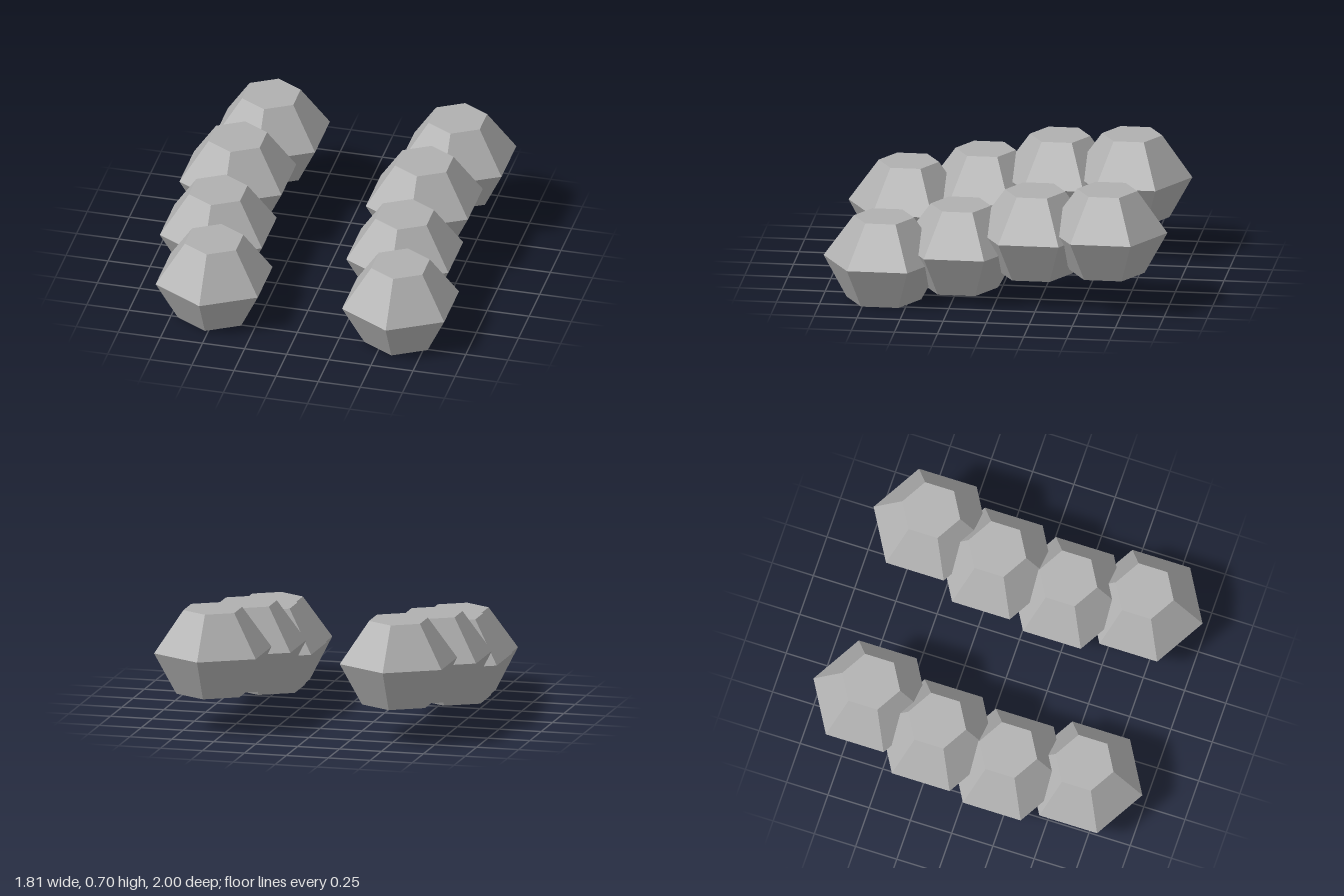
import * as THREE from 'three';

export function createModel() {
  const model = new THREE.Group();
  model.name = 'steppingStones';
  const stoneGrey = new THREE.MeshStandardMaterial({ name: 'stoneGrey', color: 0xb0b0b0, flatShading: true });

  // Six-sided stone: flat base, wide waist, narrower flat top
  const profile = [[0, 0], [0.217, 0], [0.35, 0.245], [0.175, 0.49], [0, 0.49]];
  const stone = new THREE.LatheGeometry(profile.map(([r, y]) => new THREE.Vector2(r, y)), 6);

  // Rising, slightly winding row of four overlapping stones, front to back
  const steps = [
    [-0.52, 0, 0.648],
    [-0.605, 0.063, 0.213],
    [-0.598, 0.167, -0.22],
    [-0.507, 0.215, -0.65],
  ];

  // The same row twice, side by side
  [['rightRow', 0], ['leftRow', 1.107]].forEach(([name, offset]) => {
    const row = new THREE.Group();
    row.name = name;
    row.position.x = offset;
    steps.forEach((p, i) => {
      const mesh = new THREE.Mesh(stone, stoneGrey);
      mesh.name = `stone${i + 1}`;
      mesh.position.set(...p);
      row.add(mesh);
    });
    model.add(row);
  });
  return model;
}
